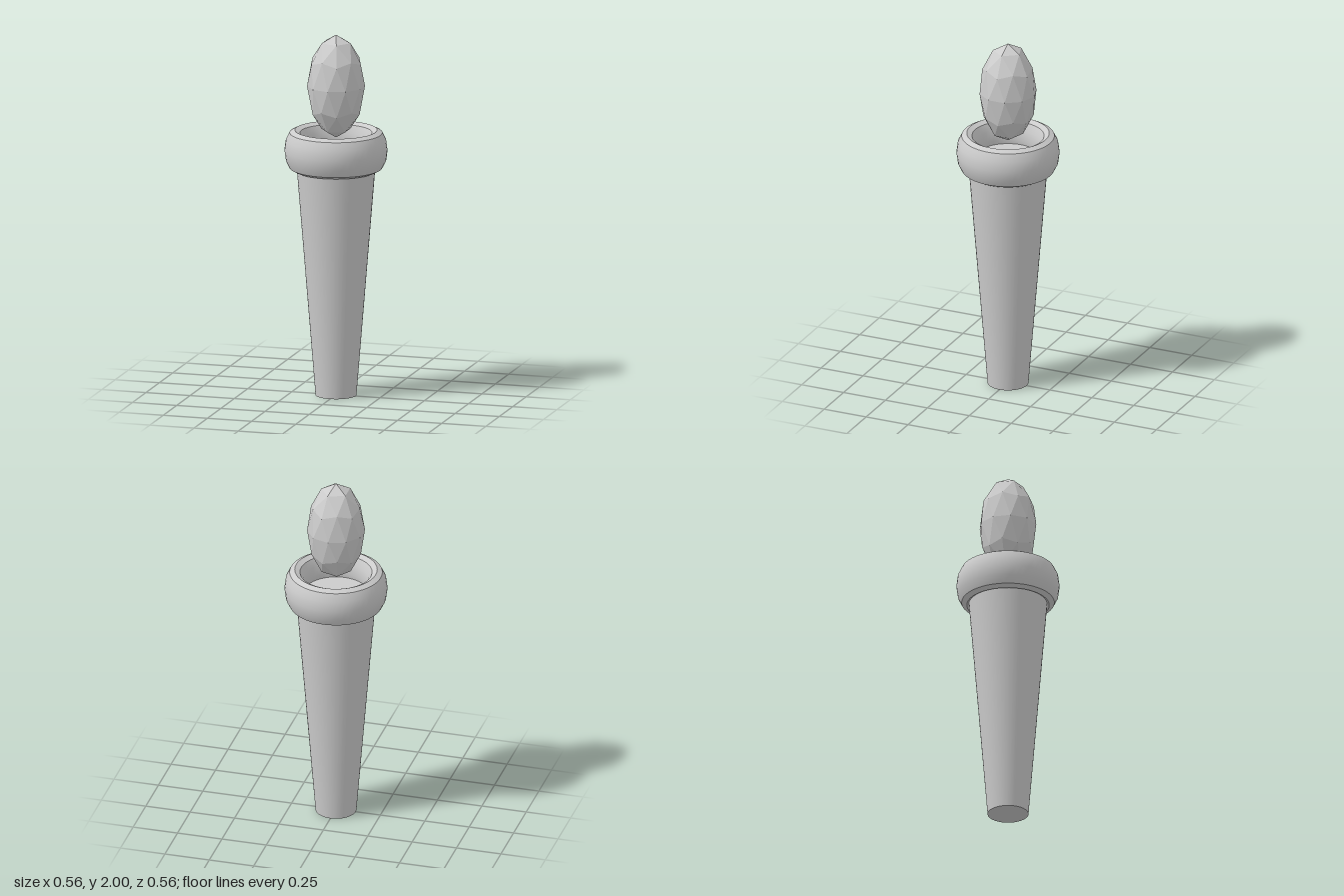
import * as THREE from 'three';
import { toCreasedNormals } from 'three/addons/utils/BufferGeometryUtils.js';

const SIDES = 48;

export function createModel() {
  const group = new THREE.Group();
  group.name = 'torch';

  function addPart(name, geometry, y, flatShading = false) {
    const material = new THREE.MeshStandardMaterial({ color: 0xcccccc, flatShading });
    const mesh = new THREE.Mesh(geometry, material);
    mesh.name = name;
    mesh.position.y = y;
    group.add(mesh);
  }

  // Tapered handle; its top cap is the floor of the cup
  const handleHeight = 1.335;
  addPart('handle', new THREE.CylinderGeometry(0.219, 0.111, handleHeight, SIDES), handleHeight / 2);

  // Collar: a torus stretched to twice its height, creased near top and bottom
  const collar = new THREE.TorusGeometry(0.2235, 0.056, 12, SIDES);
  collar.rotateX(Math.PI / 2).scale(1, 2, 1);
  addPart('collar', toCreasedNormals(collar, Math.PI / 6), 1.36);

  // Faceted flame: an icosphere standing on one of its poles, stretched upward
  const flame = new THREE.IcosahedronGeometry(1, 1);
  flame.rotateZ(Math.atan(2 / (1 + Math.sqrt(5)))).rotateY(Math.PI);
  flame.scale(0.157, 0.285, 0.157);
  flame.computeVertexNormals();
  addPart('flame', flame, 1.715, true);

  return group;
}
